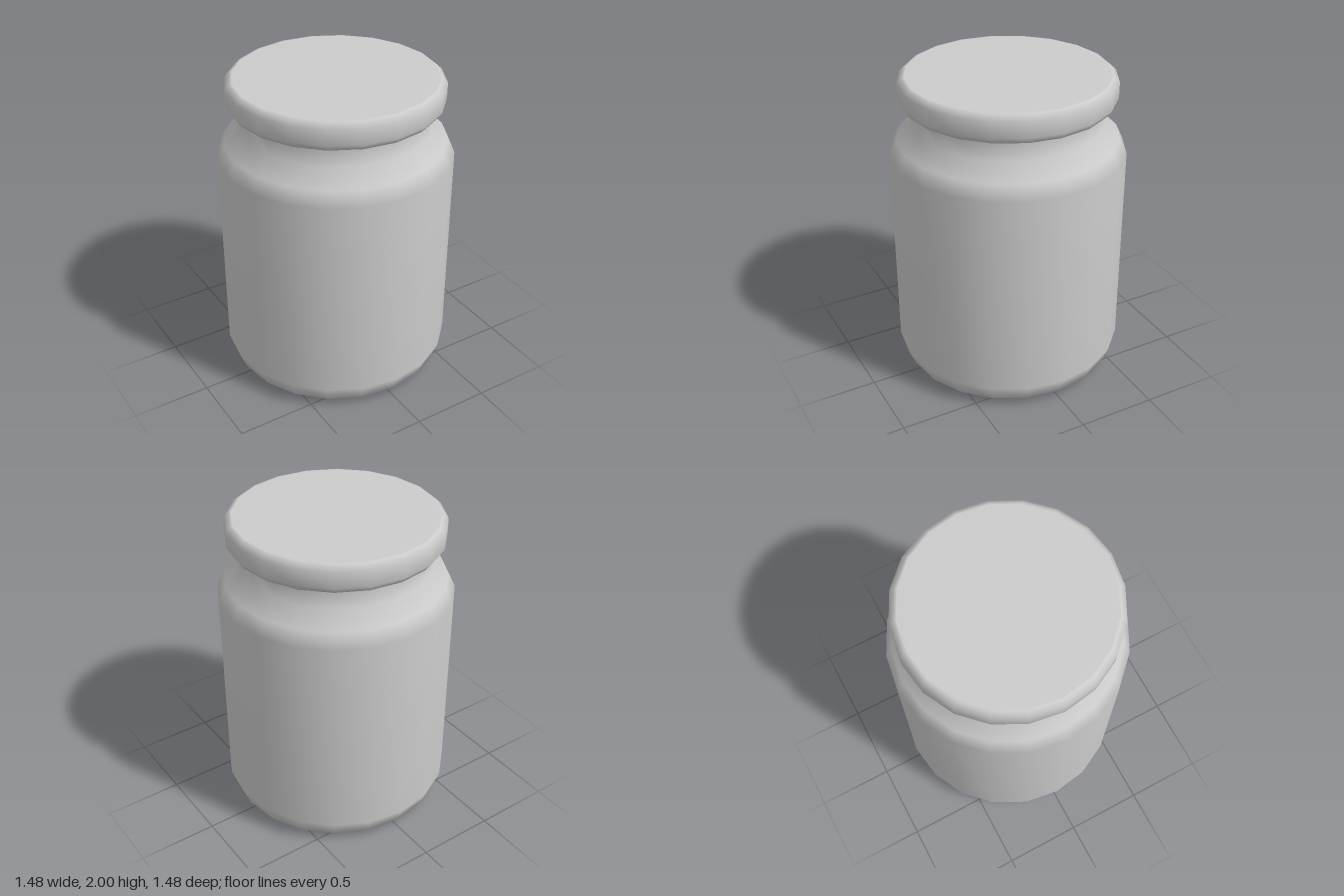
import * as THREE from 'three';

const SIDES = 20;

// Turned part from a profile of [radius, height] points, bottom to top
function turned(name, profile, material) {
  const points = profile.map(([r, y]) => new THREE.Vector2(r, y));
  const mesh = new THREE.Mesh(new THREE.LatheGeometry(points, SIDES), material);
  mesh.name = name;
  return mesh;
}

export function createModel() {
  const group = new THREE.Group();
  group.name = 'jar';
  const material = new THREE.MeshStandardMaterial({ color: 0xcccccc });

  // Body: flat base, rounded foot, straight wall, shoulder and neck
  group.add(turned('body', [
    [0, 0], [0.56, 0], [0.58, 0.005], [0.695, 0.05], [0.74, 0.16],
    [0.74, 1.5], [0.695, 1.595], [0.595, 1.69], [0.595, 1.81],
  ], material));

  // Lid: overhanging disc with bevelled rims and a flat top
  group.add(turned('lid', [
    [0, 1.8], [0.56, 1.8], [0.58, 1.802], [0.645, 1.825], [0.673, 1.865],
    [0.673, 1.967], [0.64, 1.998], [0.625, 2], [0, 2],
  ], material));

  return group;
}
